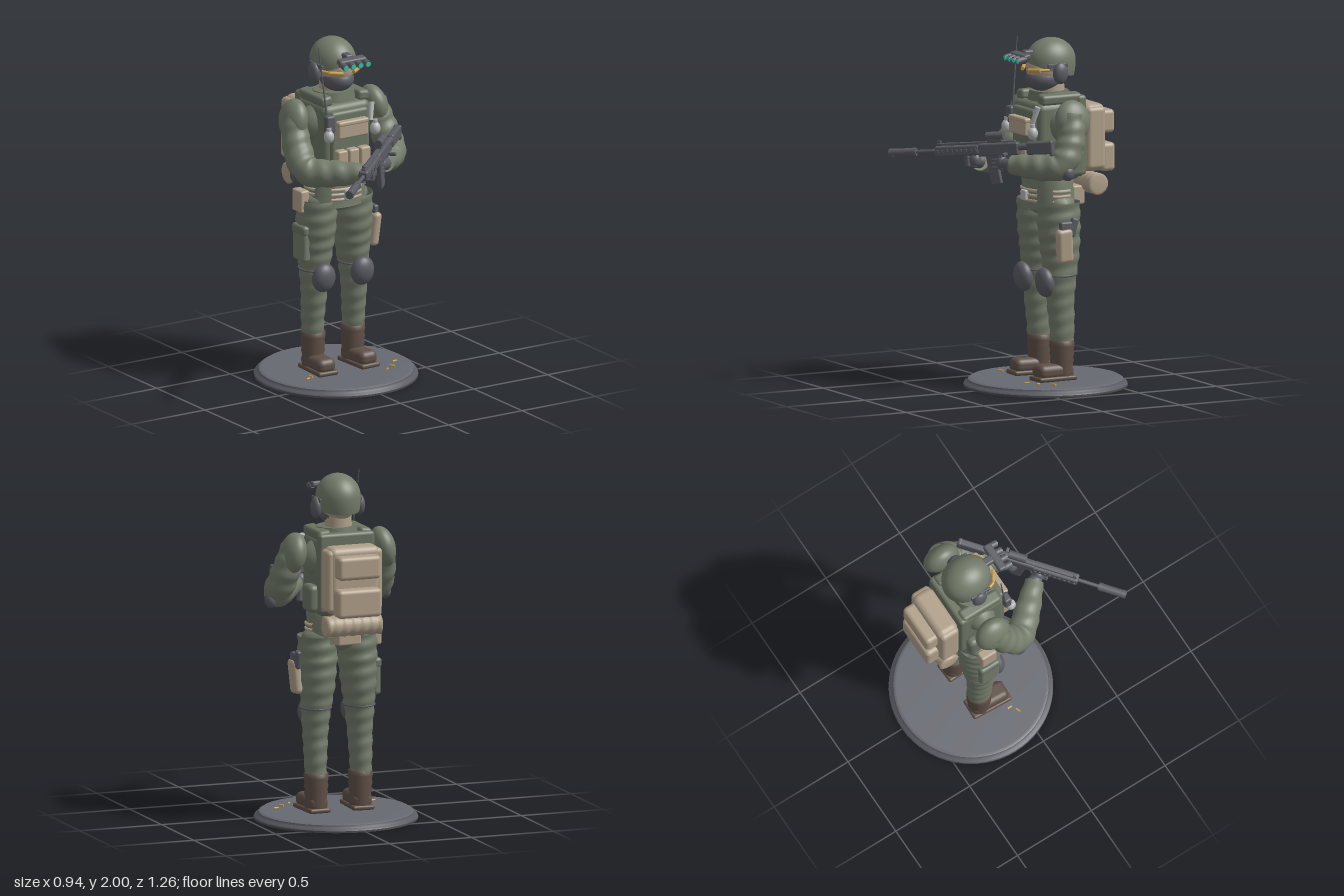
import * as THREE from 'three';
import { mergeVertices } from 'three/addons/utils/BufferGeometryUtils.js';
import { RoundedBoxGeometry } from 'three/addons/geometries/RoundedBoxGeometry.js';

const mat = (name, color) => Object.assign(new THREE.MeshStandardMaterial({ color }), { name });
const V = (p) => new THREE.Vector3(...p);

export function createModel() {
  const green = mat('uniform green', 0x747c6b), vest = mat('vest green', 0x6b7463);
  const dark = mat('gunmetal', 0x5a5c63), stone = mat('base grey', 0x666970);
  const under = mat('base underside', 0x4c4d50), tan = mat('tan', 0xb0a08a);
  const brown = mat('boot brown', 0x5f5047), gold = mat('amber', 0xcb9e4a);
  const teal = mat('lens teal', 0x36d0b0), silver = mat('silver', 0xb4b6b9);
  green.side = THREE.DoubleSide;

  const model = new THREE.Group();
  model.name = 'soldierFigure';
  let parent = model;
  const add = (name, geo, m, pos = [0, 0, 0], rot = [0, 0, 0]) => {
    const mesh = new THREE.Mesh(geo, m);
    mesh.name = name;
    mesh.position.set(...pos);
    mesh.rotation.set(...rot);
    parent.add(mesh);
    return mesh;
  };
  const box = (name, m, size, pos, rot, r = 0.012) =>
    add(name, new RoundedBoxGeometry(...size, 3, Math.min(r, Math.min(...size) * 0.45)), m, pos, rot);
  const ball = (name, m, radii, pos, rot) =>
    add(name, new THREE.SphereGeometry(1, 28, 18).scale(...radii), m, pos, rot);
  const rod = (name, m, a, b, r1, r2 = r1, sides = 16) => {
    const d = V(b).sub(V(a));
    const mesh = add(name, new THREE.CylinderGeometry(r2, r1, d.length(), sides), m, V(a).lerp(V(b), 0.5).toArray());
    mesh.quaternion.setFromUnitVectors(new THREE.Vector3(0, 1, 0), d.normalize());
    return mesh;
  };

  // Sleeve or trouser: a tube of varying radius with a spiral of cloth folds
  const limb = (name, m, pts, radii, folds, depth = 1, amp = 0.03) => {
    const curve = new THREE.CatmullRomCurve3(pts.map(V));
    const N = 90, S = 24;
    let g = new THREE.TubeGeometry(curve, N, 1, S, false);
    const p = g.attributes.position, v = new THREE.Vector3();
    for (let i = 0; i <= N; i++) {
      const t = i / N, c = curve.getPointAt(t), f = t * (radii.length - 1);
      const k = Math.min(Math.floor(f), radii.length - 2);
      const r = THREE.MathUtils.lerp(radii[k], radii[k + 1], f - k);
      for (let j = 0; j <= S; j++) {
        const a = (j / S) * Math.PI * 2, n = i * (S + 1) + j;
        v.fromBufferAttribute(p, n).sub(c).multiplyScalar(r * (1 + amp * Math.sin(t * folds * Math.PI * 2 + a)));
        p.setXYZ(n, c.x + v.x, c.y + v.y, c.z + v.z * depth);
      }
    }
    g.deleteAttribute('uv');
    g.deleteAttribute('normal');
    g = mergeVertices(g, 1e-5);
    g.computeVertexNormals();
    return add(name, g, m);
  };

  // Display base with spent casings
  const lathe = (pts, n = 64) => new THREE.LatheGeometry(pts.map((q) => new THREE.Vector2(...q)), n);
  add('baseRim', lathe([[0.468, 0.01], [0.462, 0.022], [0.445, 0.026], [0.442, 0.04]]), dark, [0, 0, -0.167]);
  add('baseTop', lathe([[0.442, 0.04], [0.425, 0.05], [0, 0.05]]), stone, [0, 0, -0.167]);
  add('baseUnderside', new THREE.CylinderGeometry(0.468, 0.468, 0.011, 64), under, [0, 0.0055, -0.167]);
  [[-0.28, -0.03, 0.4], [-0.24, -0.06, 1.6], [0.2, 0.06, 0.9], [0.26, 0.02, 2.2], [0.32, -0.05, 0.2]].forEach(([x, z, a]) =>
    add('casing', new THREE.CylinderGeometry(0.006, 0.006, 0.03, 10), gold, [x, 0.056, z], [0, a, Math.PI / 2]));

  // Legs, boots and knee pads
  for (const s of [-1, 1]) {
    limb('trouserLeg', green,
      [[s * 0.12, 1.07, -0.185], [s * 0.122, 0.93, -0.187], [s * 0.126, 0.78, -0.193], [s * 0.133, 0.64, -0.19], [s * 0.136, 0.5, -0.19], [s * 0.138, 0.37, -0.198], [s * 0.138, 0.24, -0.2]],
      [0.112, 0.112, 0.102, 0.086, 0.073, 0.066, 0.06], 10, 1.13);
    add('bootShaft', lathe([[0.06, 0.06], [0.066, 0.1], [0.062, 0.14], [0.069, 0.16], [0.064, 0.18], [0.071, 0.2], [0.066, 0.22], [0.072, 0.245], [0.07, 0.275], [0.056, 0.279]], 24), brown, [s * 0.135, 0, -0.2]);
    box('bootFoot', brown, [0.118, 0.085, 0.23], [s * 0.138, 0.103, -0.142], [0, s * 0.05, 0], 0.035);
    box('bootSole', brown, [0.13, 0.028, 0.25], [s * 0.138, 0.063, -0.143], [0, s * 0.05, 0]);
    ball('kneePad', dark, [0.073, 0.086, 0.052], [s * 0.131, 0.615, -0.094], [0.1, 0, 0]);
    add('kneeStrap', new THREE.TorusGeometry(0.087, 0.006, 8, 32), dark, [s * 0.133, 0.655, -0.188], [Math.PI / 2, 0, 0]).scale.y = 1.12;
  }

  // Hips, waist and belt bands that surface at the front, sides and back
  ball('hips', green, [0.215, 0.085, 0.122], [0, 1.06, -0.187]);
  add('waist', lathe([[0.19, 1.03], [0.183, 1.07], [0.187, 1.09], [0.181, 1.11], [0.185, 1.13], [0.178, 1.15], [0.18, 1.2], [0.16, 1.27]], 40), green, [0, 0, -0.18]).scale.z = 0.76;
  for (const y of [1.078, 1.107, 1.136])
    for (let k = 0; k < 4; k++) {
      const arc = k % 2 ? 1.15 : 0.8;
      add('beltBand', new THREE.TorusGeometry(0.181, 0.01, 8, 16, arc).rotateZ(k * Math.PI / 2 - arc / 2), tan, [0, y, -0.18], [Math.PI / 2, 0, 0]).scale.y = 0.77;
    }
  box('beltBuckle', silver, [0.058, 0.062, 0.03], [0, 1.105, -0.032], undefined, 0.01);
  box('hipPouch', tan, [0.06, 0.13, 0.1], [-0.218, 1.065, -0.2]);
  box('rearPouch', tan, [0.14, 0.11, 0.08], [0, 1.09, -0.345]);

  // Holster with pistol, opposite thigh pouch
  box('holster', tan, [0.055, 0.2, 0.1], [0.245, 0.835, -0.158], [0.08, 0, -0.08], 0.025);
  box('pistolGrip', dark, [0.03, 0.11, 0.045], [0.25, 0.94, -0.21], [-0.25, 0, -0.06]);
  box('pistolSlide', dark, [0.034, 0.07, 0.08], [0.25, 0.94, -0.165]);
  box('thighPouch', green, [0.05, 0.21, 0.13], [-0.22, 0.815, -0.19], undefined, 0.02);
  box('thighPouchFlap', vest, [0.054, 0.06, 0.136], [-0.222, 0.895, -0.19], undefined, 0.02);

  // Torso, plate carrier and collar
  ball('upperTorso', green, [0.225, 0.14, 0.115], [0, 1.52, -0.19]);
  box('plateCarrier', vest, [0.32, 0.45, 0.28], [0, 1.42, -0.18], undefined, 0.04);
  box('frontPlate', vest, [0.25, 0.4, 0.06], [0, 1.41, -0.045], undefined, 0.02);
  box('backPlate', vest, [0.34, 0.46, 0.06], [0, 1.45, -0.315], undefined, 0.02);
  add('collar', new THREE.CylinderGeometry(0.125, 0.15, 0.1, 32), vest, [0, 1.65, -0.19]).scale.z = 0.85;
  for (const s of [-1, 1]) {
    box('shoulderStrap', vest, [0.075, 0.06, 0.26], [s * 0.125, 1.665, -0.19], [0, 0, -s * 0.12], 0.02);
    box('sidePouch', vest, [0.07, 0.16, 0.13], [s * 0.185, 1.3, -0.245], undefined, 0.03);
    ball('grenade', silver, [0.03, 0.038, 0.03], [s * 0.157, 1.482, 0]);
    rod('grenadeNeck', silver, [s * 0.157, 1.51, 0], [s * 0.157, 1.535, 0], 0.014);
  }
  box('chestPouch', tan, [0.2, 0.095, 0.05], [0, 1.505, -0.005]);
  box('chestPouchFlap', tan, [0.206, 0.03, 0.056], [0, 1.545, -0.005]);
  for (const x of [-0.077, 0, 0.077]) box('magazinePouch', tan, [0.068, 0.145, 0.055], [x, 1.318, 0.002]);
  rod('flashlight', silver, [0.132, 1.53, -0.01], [0.155, 1.63, -0.035], 0.013, 0.017);

  // Radio and whip antenna
  box('radio', dark, [0.06, 0.1, 0.045], [-0.14, 1.55, -0.02]);
  rod('antenna', dark, [-0.148, 1.59, -0.035], [-0.176, 1.99, -0.078], 0.006, 0.003, 8);

  // Arms, shoulder caps, elbow pads and gloves
  const arms = [
    [[0.27, 1.59, -0.19], [0.305, 1.45, -0.165], [0.322, 1.32, -0.09], [0.24, 1.305, 0.03], [0.135, 1.31, 0.13]],
    [[-0.27, 1.59, -0.19], [-0.288, 1.44, -0.14], [-0.288, 1.3, -0.03], [-0.17, 1.295, 0.11], [-0.06, 1.31, 0.225]]];
  arms.forEach((pts, i) => {
    const s = i ? -1 : 1;
    limb('sleeve', green, pts, [0.07, 0.083, 0.085, 0.076, 0.053], 7, 1, 0.035);
    ball('shoulderCap', green, [0.07, 0.12, 0.108], [s * 0.272, 1.555, -0.195], [0, 0, s * 0.2]);
    ball('elbowPad', dark, [0.035, 0.045, 0.04], i ? [-0.34, 1.27, -0.06] : [0.375, 1.275, -0.11]);
    const h = pts[4], g = i ? [-0.045, 1.32, 0.262] : [0.088, 1.32, 0.165];
    rod('gloveCuff', dark, h, g, 0.042, 0.032);
    ball('glovePalm', dark, [0.036, 0.045, 0.036], g);
    for (let k = 0; k < 4; k++)
      box('gloveFinger', dark, [0.07, 0.019, 0.033], [g[0] - 0.008, g[1] + 0.035 - k * 0.022, g[2] + 0.02], [0, 0.7, 0], 0.008);
  });

  // Backpack with two pockets and bedroll
  box('backpack', tan, [0.31, 0.39, 0.135], [0, 1.425, -0.41], undefined, 0.04);
  for (const s of [-1, 1]) box('packSide', tan, [0.06, 0.36, 0.12], [s * 0.14, 1.425, -0.41], undefined, 0.026);
  box('upperPocket', tan, [0.26, 0.135, 0.09], [0, 1.51, -0.505], undefined, 0.025);
  box('lowerPocket', tan, [0.27, 0.165, 0.09], [0, 1.305, -0.505], undefined, 0.025);
  const roll = [[0, -0.17], [0.048, -0.17]];
  for (let k = 0; k <= 24; k++) roll.push([0.06 + 0.003 * Math.cos(k * Math.PI / 2), -0.163 + k * 0.326 / 24]);
  add('bedroll', lathe([...roll, [0.048, 0.17], [0, 0.17]], 28), tan, [0, 1.16, -0.42], [0, 0, Math.PI / 2]);

  // Head, mask, glasses and headset
  add('neck', new THREE.CylinderGeometry(0.075, 0.08, 0.17, 24), tan, [0, 1.73, -0.2]);
  ball('face', tan, [0.1, 0.115, 0.137], [0, 1.835, -0.185]);
  ball('faceMask', dark, [0.093, 0.075, 0.113], [0, 1.768, -0.16]);
  for (const s of [-1, 1]) {
    rod('glassesSide', gold, [s * 0.118, 1.83, -0.13], [s * 0.1, 1.83, -0.08], 0.009);
    rod('glassesFront', gold, [s * 0.1, 1.83, -0.08], [s * 0.035, 1.825, -0.038], 0.011);
    ball('earCup', dark, [0.03, 0.062, 0.047], [s * 0.132, 1.81, -0.193]);
    box('helmetRail', dark, [0.012, 0.025, 0.13], [s * 0.124, 1.855, -0.18], undefined, 0.004);
  }

  // Helmet: dome whose rim drops from the brow to the nape
  const dome = new THREE.SphereGeometry(1, 40, 20, 0, Math.PI * 2, 0, Math.PI / 2);
  const dp = dome.attributes.position;
  for (let i = 0; i < dp.count; i++) {
    const x = dp.getX(i), z = dp.getZ(i), l = Math.hypot(x, z) || 1, c = z / l;
    const rim = (1.805 + 0.04 * c + 0.015 * c * c - 1.868) / 0.132;
    const th = Math.acos(Math.min(1, Math.max(-1, dp.getY(i)))) * Math.acos(rim) / (Math.PI / 2);
    const r = th > Math.PI / 2 ? 0.7 + 0.3 * Math.sin(th) : Math.sin(th);
    dp.setXYZ(i, (x / l) * r * 0.126, Math.cos(th) * 0.132, c * r * 0.147);
  }
  dome.computeVertexNormals();
  add('helmet', dome, green, [0, 1.868, -0.2]);

  // Night-vision goggles with four tubes
  box('goggleMount', dark, [0.05, 0.04, 0.07], [0, 1.918, -0.055]);
  box('goggleBody', dark, [0.18, 0.034, 0.05], [0, 1.907, -0.005], [0.2, 0, 0]);
  for (const x of [-0.075, -0.025, 0.025, 0.075]) {
    rod('goggleTube', dark, [x, 1.9, 0.0], [x, 1.889, 0.053], 0.018, 0.02);
    rod('goggleLens', teal, [x, 1.889, 0.051], [x, 1.888, 0.057], 0.015);
  }

  // Rifle, built along local z from stock to muzzle
  const rifle = new THREE.Group();
  rifle.name = 'rifle';
  rifle.position.set(0.335, 1.43, -0.035);
  rifle.lookAt(-0.425, 1.335, 0.615);
  model.add(rifle);
  parent = rifle;
  box('stock', dark, [0.04, 0.075, 0.16], [0, -0.005, 0.08]);
  box('buttPad', dark, [0.045, 0.09, 0.025], [0, -0.01, 0.008]);
  rod('bufferTube', dark, [0, 0.005, 0.1], [0, 0.005, 0.24], 0.02);
  box('receiver', dark, [0.05, 0.075, 0.25], [0, -0.002, 0.33]);
  box('boltHandle', dark, [0.07, 0.02, 0.02], [0.035, -0.03, 0.28], undefined, 0.006);
  box('handguard', dark, [0.056, 0.06, 0.27], [0, 0, 0.58]);
  for (let k = 0; k < 9; k++) box('railRib', dark, [0.066, 0.018, 0.014], [0, 0, 0.465 + k * 0.029], undefined, 0.003);
  box('topRail', dark, [0.022, 0.014, 0.48], [0, 0.037, 0.465], undefined, 0.004);
  rod('barrel', dark, [0, 0, 0.7], [0, 0, 0.85], 0.011);
  rod('suppressor', dark, [0, 0, 0.835], [0, 0, 1], 0.023);
  for (const z of [0.85, 0.985]) rod('suppressorRing', dark, [0, 0, z - 0.008], [0, 0, z + 0.008], 0.025);
  box('sightBase', dark, [0.03, 0.025, 0.09], [0, 0.05, 0.35], undefined, 0.005);
  rod('sight', dark, [0, 0.075, 0.295], [0, 0.075, 0.4], 0.023);
  box('frontSight', dark, [0.018, 0.03, 0.02], [0, 0.045, 0.69], undefined, 0.004);
  box('pistolGrip', dark, [0.03, 0.1, 0.04], [0, -0.075, 0.26], [0.3, 0, 0]);
  box('magazine', dark, [0.03, 0.18, 0.065], [0, -0.115, 0.37], [0.12, 0, 0], 0.008);
  box('foregrip', dark, [0.026, 0.08, 0.03], [0, -0.06, 0.53]);
  return model;
}
